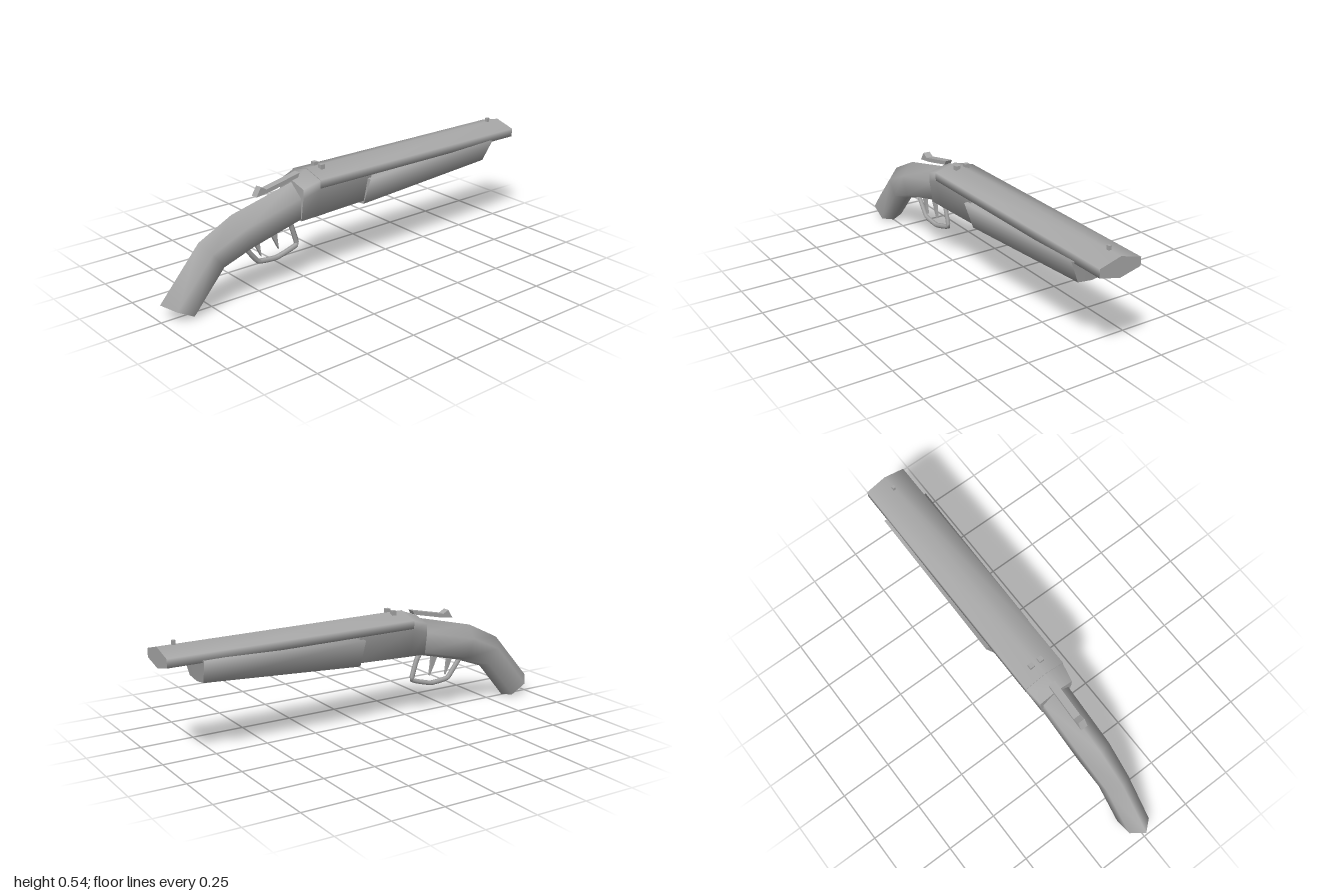
import * as THREE from 'three';

const grey = new THREE.MeshStandardMaterial({ color: 0xa8a8a8 });
grey.name = 'grey metal';

// Each ring is half a section, [x, y, z] from top centre to bottom centre on +z; it is mirrored to -z.
function loft(name, halves) {
  const rings = halves.map(h => [...h, ...h.slice(1, -1).reverse().map(([x, y, z]) => [x, y, -z])]);
  const n = rings[0].length, last = rings.length - 1, pos = [], index = [];
  rings.forEach(r => r.forEach(p => pos.push(...p)));
  for (let i = 0; i < last; i++) {
    for (let j = 0; j < n; j++) {
      const a = i * n + j, b = i * n + (j + 1) % n;
      index.push(a, b, a + n, b, b + n, a + n);
    }
  }
  // separate cap vertices keep the ends crisp
  for (const [ring, front] of [[rings[0], false], [rings[last], true]]) {
    const base = pos.length / 3;
    ring.forEach(p => pos.push(...p));
    for (let j = 1; j < n - 1; j++) {
      index.push(base, base + (front ? j : j + 1), base + (front ? j + 1 : j));
    }
  }
  const geo = new THREE.BufferGeometry();
  geo.setAttribute('position', new THREE.Float32BufferAttribute(pos, 3));
  geo.setIndex(index);
  geo.computeVertexNormals();
  return part(name, geo);
}

function part(name, geo) {
  const mesh = new THREE.Mesh(geo, grey);
  mesh.name = name;
  return mesh;
}

function plate(name, points, width) {
  const shape = new THREE.Shape(points.map(p => new THREE.Vector2(...p)));
  const geo = new THREE.ExtrudeGeometry(shape, { depth: width, bevelEnabled: false });
  geo.translate(0, 0, -width / 2);
  return part(name, geo);
}

function block(name, x, y, z, w, h, d) {
  const geo = new THREE.BoxGeometry(w, h, d);
  geo.translate(x, y, z);
  return part(name, geo);
}

export function createModel() {
  const group = new THREE.Group();
  group.name = 'model';

  // wide six-sided barrel
  group.add(loft('barrel', [-0.225, 1].map(x => [
    [x, 0.524, 0], [x, 0.495, 0.103], [x, 0.455, 0.103], [x, 0.43, 0],
  ])));

  // receiver: x, top, shoulder, waist, half width, lower edge
  group.add(loft('receiver', [
    [-0.31, 0.488, 0.465, 0.42, 0.088, 0.312],
    [-0.225, 0.521, 0.492, 0.45, 0.101, 0.314],
    [0.07, 0.515, 0.488, 0.45, 0.101, 0.325],
  ].map(([x, top, shoulder, waist, w, low]) => [
    [x, top, 0], [x, shoulder, w], [x, waist, w], [x, low, 0.072], [x, low - 0.008, 0],
  ])));

  // fore grip: top x, bottom x, top y, bottom y
  group.add(loft('foreGrip', [
    [0.05, 0.05, 0.44, 0.308], [0.843, 0.828, 0.466, 0.357],
  ].map(([xt, xb, top, low]) => [
    [xt, 0.45, 0], [xt, top, 0.119], [xb, low, 0.071], [xb, low - 0.009, 0],
  ])));

  // curved stock: top point, bottom point, half width
  group.add(loft('stock', [
    [-1, 0.085, -0.85, 0.003, 0.058],
    [-0.8, 0.315, -0.7, 0.18, 0.06],
    [-0.63, 0.4, -0.56, 0.232, 0.07],
    [-0.29, 0.482, -0.29, 0.3, 0.07],
  ].map(([xt, yt, xb, yb, w]) => {
    const at = (t, z) => [xt + (xb - xt) * t, yt + (yb - yt) * t, z];
    return [at(0, 0), at(0.32, w), at(0.86, w), at(1, 0)];
  })));

  // trigger guard
  const path = new THREE.CatmullRomCurve3([
    [-0.335, 0.3], [-0.315, 0.27], [-0.287, 0.172], [-0.4, 0.138], [-0.5, 0.148], [-0.57, 0.235],
  ].map(([x, y]) => new THREE.Vector3(x, y, 0)), false, 'catmullrom', 0.15);
  group.add(part('triggerGuard', new THREE.TubeGeometry(path, 30, 0.012, 6)));

  // two triggers
  for (const [x, y] of [[-0.5, 0.215], [-0.405, 0.225]]) {
    group.add(plate('trigger', [
      [x - 0.03, y + 0.05], [x - 0.008, y], [x + 0.016, y - 0.047],
      [x + 0.01, y], [x + 0.005, y + 0.06],
    ], 0.014));
  }

  // top lever
  group.add(plate('topLever', [
    [-0.51, 0.455], [-0.43, 0.466], [-0.285, 0.498], [-0.275, 0.518], [-0.455, 0.48], [-0.485, 0.496],
  ], 0.035));

  // sights
  group.add(block('frontSight', 0.925, 0.526, 0, 0.016, 0.032, 0.013));
  for (const side of [-1, 1]) {
    group.add(block('rearSight', -0.16, 0.524, side * 0.025, 0.022, 0.022, 0.023));
  }
  return group;
}
